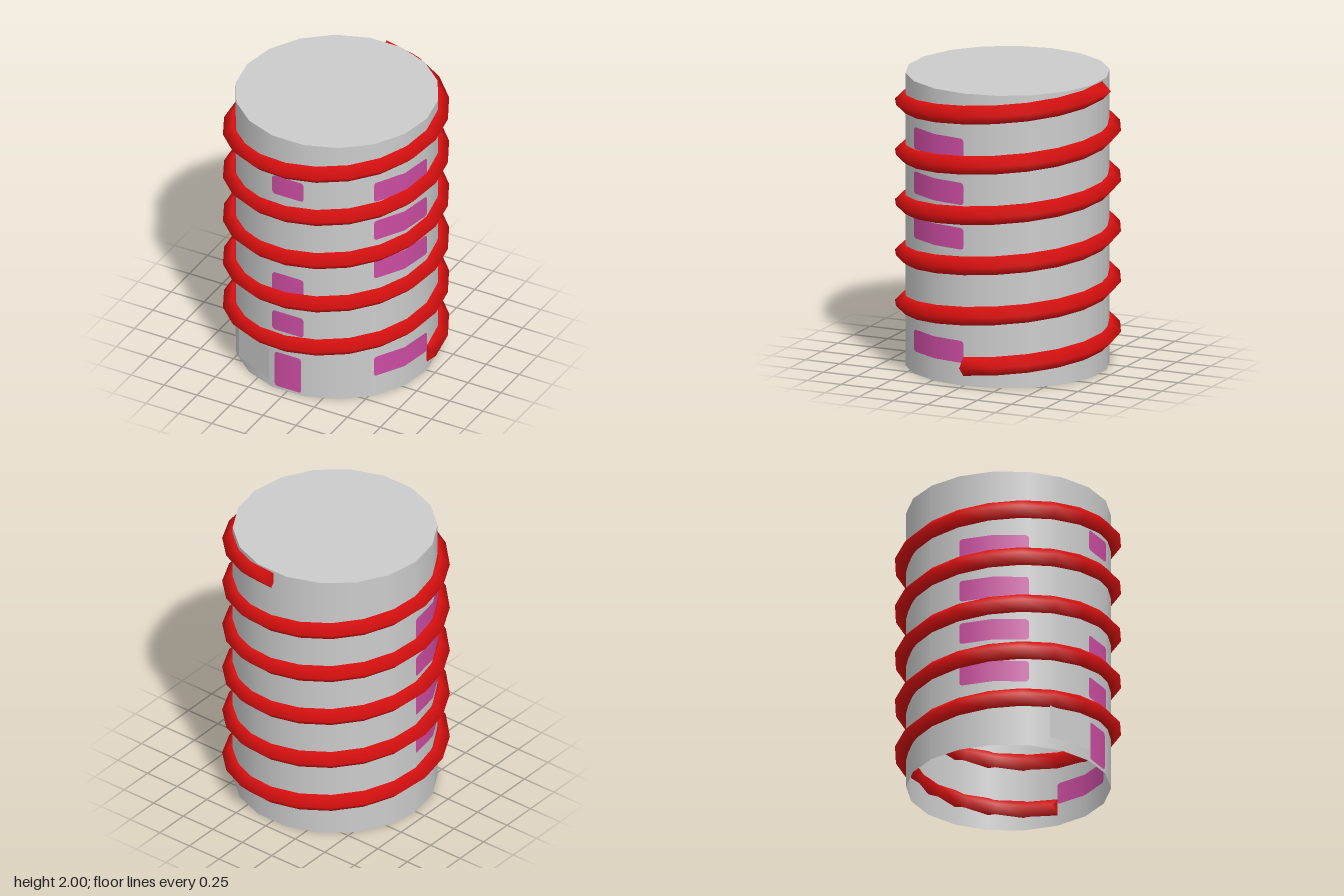
import * as THREE from 'three';

const SIDES = 18, R = 0.68, H = 2, CX = 0.007;
const rad = THREE.MathUtils.degToRad;

function material(name, color) {
  const m = new THREE.MeshStandardMaterial({ color, side: THREE.DoubleSide });
  m.name = name;
  return m;
}

function addMesh(parent, name, geometry, mat) {
  const mesh = new THREE.Mesh(geometry, mat);
  mesh.name = name;
  parent.add(mesh);
  return mesh;
}

// Distance from the axis to the many-sided wall at an angle in degrees
function wallRadius(deg) {
  const step = 360 / SIDES;
  return R * Math.cos(rad(step / 2)) / Math.cos(rad((deg % step) - step / 2));
}

// Rounded rectangle that follows the wall between angles a0 and a1
function panelGeometry(a0, a1, y0, y1, offset) {
  const c = 0.02;
  const span = rad(a1 - a0) * R;
  const ends = [0, 0.3 * c, c].map(d => d / span);
  const us = [...ends, 0.5, ...ends.map(u => 1 - u).reverse()];
  const g = new THREE.PlaneGeometry(1, 1, us.length - 1, 1);
  const p = g.attributes.position, n = g.attributes.normal;
  for (let i = 0; i < p.count; i++) {
    const u = us[i % us.length];
    const deg = a1 - u * (a1 - a0);
    const d = Math.min(u, 1 - u) * span;
    const inset = d < c ? c - Math.sqrt(c * c - (c - d) ** 2) : 0;
    const r = wallRadius(deg) + offset;
    const x = Math.cos(rad(deg)), z = Math.sin(rad(deg));
    p.setXYZ(i, CX + x * r, i < us.length ? y1 - inset : y0 + inset, z * r);
    n.setXYZ(i, x, 0, z);
  }
  return g;
}

// Diamond-section helix winding upwards around the wall
const COIL = { r: 0.692, size: 0.064, start: 0.134, pitch: 0.344, turns: 5.25, perTurn: 20 };
function coilGeometry() {
  const { r, size, start, pitch, turns, perTurn } = COIL;
  const n = turns * perTurn, pos = [], idx = [];
  for (let i = 0; i <= n; i++) {
    const t = (i / perTurn) * Math.PI * 2;
    for (let j = 0; j < 4; j++) {
      const phi = j * Math.PI / 2;
      const q = r + size * Math.cos(phi);
      pos.push(q * Math.cos(t), start + pitch * i / perTurn + size * Math.sin(phi), -q * Math.sin(t));
      if (i < n) {
        const a = i * 4 + j, c = i * 4 + (j + 1) % 4;
        idx.push(a, a + 4, c, a + 4, c + 4, c);
      }
    }
  }
  const g = new THREE.BufferGeometry();
  g.setAttribute('position', new THREE.Float32BufferAttribute(pos, 3));
  g.setIndex(idx);
  g.computeVertexNormals();
  return g;
}

export function createModel() {
  const model = new THREE.Group();
  model.name = 'spiralTower';
  const grey = material('lightGrey', 0xcccccc);
  const red = material('red', 0xdd1010);
  const pink = material('pink', 0xcc4da2);

  // Hollow body, closed on top and open below
  const wall = addMesh(model, 'towerWall',
    new THREE.CylinderGeometry(R, R, H, SIDES, 1, true, rad(10)), grey);
  wall.position.set(CX, H / 2, 0);
  const roof = addMesh(model, 'roof', new THREE.CircleGeometry(R, SIDES), grey);
  roof.rotation.x = -Math.PI / 2;
  roof.position.set(CX, H, 0);

  // Spiral rail with end caps
  const rail = new THREE.Group();
  rail.name = 'spiralRail';
  model.add(rail);
  addMesh(rail, 'railCoil', coilGeometry(), red);
  const cap = new THREE.CircleGeometry(COIL.size, 4);
  addMesh(rail, 'railStart', cap, red).position.set(COIL.r, COIL.start, 0);
  const end = addMesh(rail, 'railEnd', cap, red);
  end.position.set(0, COIL.start + COIL.pitch * COIL.turns, -COIL.r);
  end.rotation.y = -Math.PI / 2;

  // Windows and door, painted on both faces of the wall
  const columns = [
    { name: 'leftWindow', a: [0, 40], ys: [[0.155, 0.305], [0.93, 1.078], [1.235, 1.387], [1.54, 1.69]] },
    { name: 'frontWindow', a: [80, 100], ys: [[0.465, 0.615], [0.77, 0.92], [1.545, 1.69]] },
    { name: 'rightWindow', a: [140, 180], ys: [[0.465, 0.615], [0.77, 0.92], [1.08, 1.23], [1.385, 1.535]] },
    { name: 'door', a: [81.5, 98.5], ys: [[0.02, 0.29]] },
  ];
  for (const { name, a, ys } of columns)
    for (const [y0, y1] of ys)
      for (const side of [-1, 1])
        addMesh(model, name + (side > 0 ? 'Outside' : 'Inside'),
          panelGeometry(a[0], a[1], y0, y1, side * 0.003), pink);

  // Flat sign board beside the door
  const sign = addMesh(model, 'signBoard', new THREE.PlaneGeometry(0.328, 0.23), grey);
  sign.position.set(-0.28, 0.185, 0.619);
  sign.rotation.y = rad(-24);

  return model;
}
